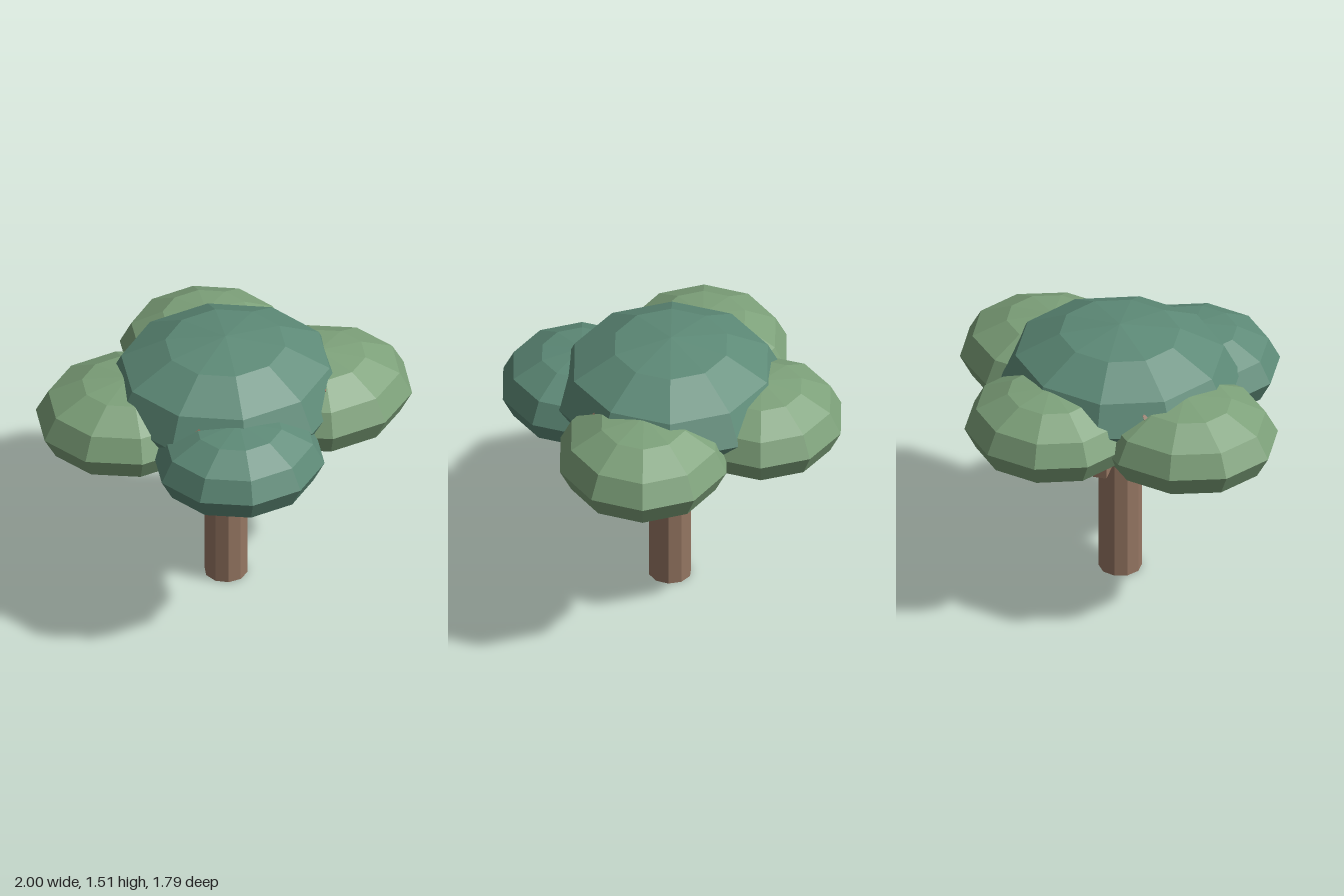
import * as THREE from 'three';

const mat = (name, color) => {
  const m = new THREE.MeshStandardMaterial({ color, flatShading: true });
  m.name = name;
  return m;
};

export function createModel() {
  const bark = mat('bark', 0x967763);
  const lightLeaf = mat('light leaf', 0x7da17a);
  const darkLeaf = mat('dark leaf', 0x5d8a77);
  const tree = new THREE.Group();
  tree.name = 'tree';

  const add = (name, geometry, material, parent = tree) => {
    const mesh = new THREE.Mesh(geometry, material);
    mesh.name = name;
    parent.add(mesh);
    return mesh;
  };

  // Ten-sided trunk
  const trunk = add('trunk', new THREE.CylinderGeometry(0.115, 0.115, 0.92, 10), bark);
  trunk.position.set(0, 0.46, 0.005);
  trunk.rotation.y = THREE.MathUtils.degToRad(14);

  // Four level branches, and four slanted ones hidden in the crown
  const from = new THREE.Vector3(0, 0.9, 0);
  const up = new THREE.Vector3(0, 1, 0);
  for (let i = 0; i < 4; i++) {
    const arm = add('branch', new THREE.BoxGeometry(0.075, 0.075, 0.44).translate(0, 0, 0.22), bark);
    arm.position.y = 0.86;
    arm.rotation.y = THREE.MathUtils.degToRad(16) + i * Math.PI / 2;

    const a = Math.PI / 4 + i * Math.PI / 2;
    const to = new THREE.Vector3(Math.cos(a) * 0.56, 1.28, Math.sin(a) * 0.56);
    const span = to.clone().sub(from);
    const twig = add('upperBranch', new THREE.CylinderGeometry(0.025, 0.035, span.length(), 6), bark);
    twig.position.copy(from).addScaledVector(span, 0.5);
    twig.quaternion.setFromUnitVectors(up, span.normalize());
  }

  // Flattened, faceted leaf clumps: name, material, centre, radii
  const clumps = [
    ['crownLeaves', darkLeaf, [0, 1.18, 0], [0.65, 0.335, 0.62]],
    ['frontLeaves', darkLeaf, [-0.18, 1.08, 0.475], [0.465, 0.235, 0.436]],
    ['backLeaves', lightLeaf, [0.145, 1.1, -0.48], [0.465, 0.24, 0.442]],
    ['leftLeaves', lightLeaf, [0.487, 1.095, 0.14], [0.51, 0.25, 0.463]],
    ['rightLeaves', lightLeaf, [-0.495, 1.075, -0.165], [0.505, 0.245, 0.463]],
  ];
  for (const [name, material, centre, radii] of clumps) {
    const clump = add(name, new THREE.SphereGeometry(1, 10, 6).scale(...radii), material);
    clump.position.set(...centre);
  }
  return tree;
}
